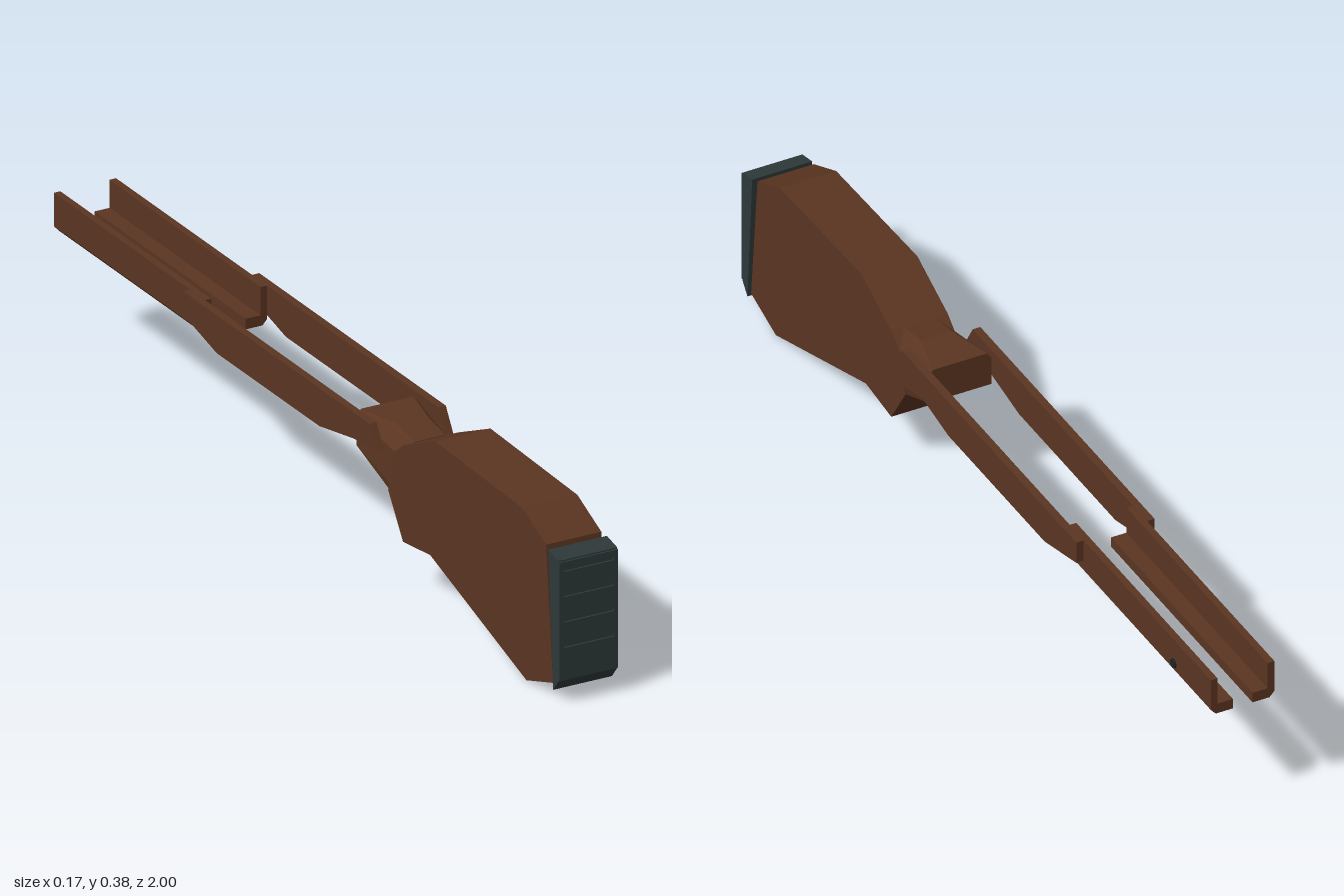
import * as THREE from 'three';
import { ConvexGeometry } from 'three/addons/geometries/ConvexGeometry.js';

const wood = new THREE.MeshStandardMaterial({ color: 0x5b3521 });
wood.name = 'walnut';
const rubber = new THREE.MeshStandardMaterial({ color: 0x2f3939 });
rubber.name = 'rubber';
const steel = new THREE.MeshStandardMaterial({ color: 0x1c2628 });
steel.name = 'dark steel';

const toShape = (points) => new THREE.Shape(points.map(([a, b]) => new THREE.Vector2(a, b)));

// Side outline of [z, y] points, given a width across x
function sideSlab(points, width, x = 0) {
  const geo = new THREE.ExtrudeGeometry(toShape(points), { depth: width, bevelEnabled: false });
  geo.translate(0, 0, -width / 2);
  geo.rotateY(-Math.PI / 2);
  return geo.translate(x, 0, 0);
}

export function createModel() {
  const model = new THREE.Group();
  const add = (name, geo, mat) => {
    const mesh = new THREE.Mesh(geo, mat);
    mesh.name = name;
    model.add(mesh);
    return mesh;
  };

  // Shoulder stock
  add('stockBody', sideSlab([
    [0.94, 0.324], [0.845, 0.367], [0.5, 0.377], [0.372, 0.319], [0.335, 0.29],
    [0.313, 0.2], [0.372, 0.11], [0.48, 0.123], [0.862, 0.0], [0.967, 0.035],
  ], 0.126), wood);

  // Flared wrist joining the stock to the side rails
  const wrist = [];
  for (const s of [-1, 1]) {
    for (const [x, y, z] of [
      [0.07, 0.254, 0.2], [0.07, 0.318, 0.2], [0.06, 0.331, 0.2],
      [0.035, 0.331, 0.3], [0.035, 0.319, 0.37], [0.06, 0.285, 0.37],
      [0.06, 0.2, 0.313], [0.06, 0.2, 0.37],
    ]) wrist.push(new THREE.Vector3(s * x, y, z));
  }
  add('wrist', new ConvexGeometry(wrist), wood);

  // Butt pad with raised cross ribs
  add('buttPad', sideSlab([
    [0.996, 0.311], [0.955, 0.32], [0.975, 0.024], [0.996, 0.05],
  ], 0.134), rubber);
  const ribEdges = [0.308, 0.293, 0.238, 0.183, 0.128, 0.052];
  for (let i = 0; i < 5; i++) {
    const top = ribEdges[i] - (i ? 0.006 : 0);
    const h = top - ribEdges[i + 1];
    const rib = add('padRib', new THREE.BoxGeometry(0.134, h, 0.004), rubber);
    rib.position.set(0, top - h / 2, 0.998);
    if (i) {
      // Solid margins at both ends of each groove
      for (const s of [-1, 1]) {
        const margin = add('grooveEnd', new THREE.BoxGeometry(0.01, 0.006, 0.004), rubber);
        margin.position.set(s * 0.062, ribEdges[i] - 0.003, 0.998);
      }
    }
  }

  for (const s of [-1, 1]) {
    const side = s > 0 ? 'left' : 'right';

    // Thin side rail
    add(side + 'Rail', sideSlab([
      [0.28, 0.336], [-0.46, 0.336], [-0.46, 0.287], [-0.325, 0.254],
      [0.083, 0.254], [0.22, 0.28], [0.31, 0.287],
    ], 0.017, s * 0.079), wood);

    // Fore-end half: upright wall with an inner shelf
    const section = [
      [0.071, 0.336], [0.056, 0.336], [0.056, 0.275], [0.022, 0.275],
      [0.022, 0.252], [0.06, 0.252], [0.071, 0.264],
    ].map(([x, y]) => [s * x, y]);
    const fore = new THREE.ExtrudeGeometry(toShape(section), { depth: 0.6, bevelEnabled: false });
    add(side + 'ForeEnd', fore.translate(0, 0, -1), wood);
  }

  // Small stud on the left fore-end wall
  const stud = add('stud', new THREE.CylinderGeometry(0.01, 0.01, 0.01, 8).rotateZ(Math.PI / 2), steel);
  stud.position.set(0.071, 0.281, -0.845);

  return model;
}
